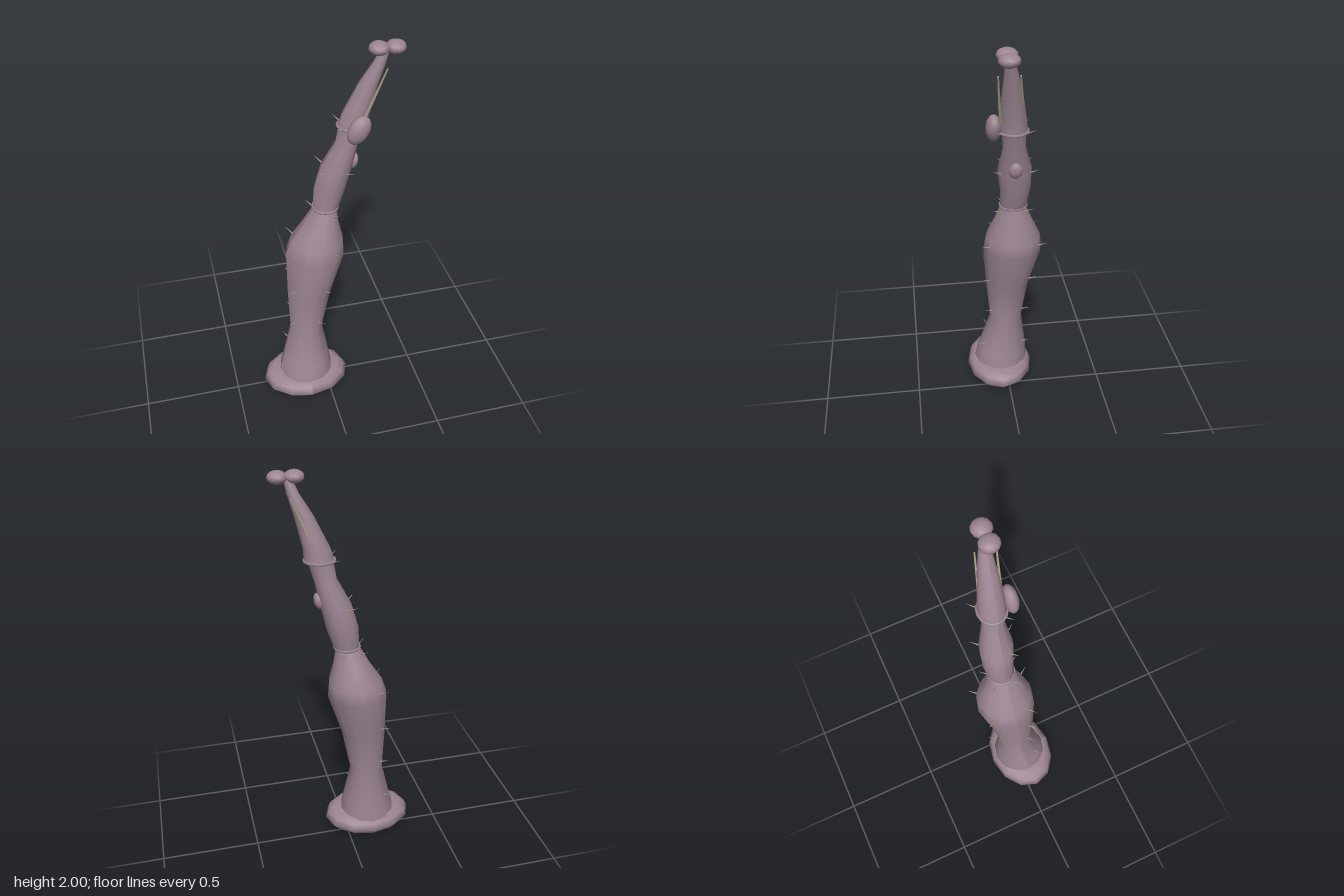
import * as THREE from 'three';

const skin = new THREE.MeshStandardMaterial({ color: 0x9c8592 });
skin.name = 'mauve skin';
const thornMat = new THREE.MeshStandardMaterial({ color: 0xaaa283 });
thornMat.name = 'bone thorn';

// Cross-sections: [y, xMin, xMax, zMin, zMax]
const lower = [
  [0.08, -0.265, 0.03, -0.115, 0.18], [0.13, -0.26, 0.025, -0.11, 0.175],
  [0.2, -0.24, 0.015, -0.105, 0.155], [0.4, -0.19, -0.02, -0.08, 0.09],
  [0.65, -0.197, 0.03, -0.115, 0.112], [0.88, -0.195, 0.105, -0.17, 0.125],
  [0.95, -0.17, 0.1, -0.16, 0.115], [1.05, -0.105, 0.075, -0.115, 0.075],
  [1.16, -0.045, 0.06, -0.07, 0.04],
];
const middle = [
  [1.14, -0.055, 0.07, -0.083, 0.047], [1.25, -0.048, 0.108, -0.098, 0.05],
  [1.37, -0.015, 0.135, -0.098, 0.065], [1.5, 0.053, 0.162, -0.06, 0.045],
  [1.61, 0.07, 0.195, -0.055, 0.055],
];
const upper = [
  [1.585, 0.06, 0.203, -0.066, 0.066], [1.65, 0.08, 0.206, -0.058, 0.066],
  [1.8, 0.152, 0.24, -0.03, 0.06], [1.9, 0.212, 0.268, -0.003, 0.056],
  [1.965, 0.24, 0.28, 0.018, 0.055],
];

// Closed tube of elliptical rings with a crease along its -x side
function limb(name, rings, sides = 12) {
  const pos = [], idx = [], n = sides + 1;
  for (const [y, x0, x1, z0, z1] of rings) {
    for (let j = 0; j < n; j++) {
      const a = Math.PI + (j / sides) * Math.PI * 2;
      pos.push((x0 + x1) / 2 + ((x1 - x0) / 2) * Math.cos(a), y,
        (z0 + z1) / 2 + ((z1 - z0) / 2) * Math.sin(a));
    }
  }
  for (let i = 0; i < rings.length - 1; i++) {
    for (let j = 0; j < sides; j++) {
      const a = i * n + j, b = a + 1, c = a + n, d = c + 1;
      idx.push(b, a, c, b, c, d);
    }
  }
  for (let j = 1; j < sides - 1; j++) {
    const t = (rings.length - 1) * n;
    idx.push(0, j, j + 1, t, t + j + 1, t + j);
  }
  const g = new THREE.BufferGeometry();
  g.setAttribute('position', new THREE.Float32BufferAttribute(pos, 3));
  g.setIndex(idx);
  const flat = g.index.array;
  // Separate cap corners so the sides stay smooth
  const sideCount = (rings.length - 1) * sides * 6;
  const capPos = [];
  for (let k = sideCount; k < flat.length; k++) {
    const v = flat[k];
    capPos.push(pos[v * 3], pos[v * 3 + 1], pos[v * 3 + 2]);
    idx[k] = pos.length / 3 + capPos.length / 3 - 1;
  }
  g.setAttribute('position', new THREE.Float32BufferAttribute(pos.concat(capPos), 3));
  g.setIndex(idx);
  g.computeVertexNormals();
  const m = new THREE.Mesh(g, skin);
  m.name = name;
  return m;
}

function ellipsoid(name, p, r, tilt = 0) {
  const m = new THREE.Mesh(new THREE.SphereGeometry(1, 12, 8), skin);
  m.name = name;
  m.position.set(...p);
  m.scale.set(...r);
  m.rotation.z = tilt;
  return m;
}

// Cone pointing from one point to another
function spike(name, from, to, radius, tip = 0) {
  const dir = to.clone().sub(from);
  const m = new THREE.Mesh(new THREE.CylinderGeometry(tip, radius, dir.length(), 5), thornMat);
  m.name = name;
  m.position.copy(from).addScaledVector(dir, 0.5);
  m.quaternion.setFromUnitVectors(new THREE.Vector3(0, 1, 0), dir.normalize());
  return m;
}

// Surface point of a limb at a height and angle
function surface(rings, y, a) {
  const i = Math.max(0, rings.findIndex((r, k) => k < rings.length - 1 && rings[k + 1][0] >= y));
  const A = rings[i], B = rings[i + 1], t = (y - A[0]) / (B[0] - A[0]);
  const [x0, x1, z0, z1] = [1, 2, 3, 4].map(k => A[k] + (B[k] - A[k]) * t);
  return new THREE.Vector3((x0 + x1) / 2 + ((x1 - x0) / 2) * Math.cos(a), y,
    (z0 + z1) / 2 + ((z1 - z0) / 2) * Math.sin(a));
}

export function createModel() {
  const model = new THREE.Group();
  model.name = 'thornyLimb';

  // Rounded foot
  const profile = [[0, 0], [0.5, 0.008], [0.83, 0.03], [1, 0.07], [0.93, 0.105], [0.78, 0.125], [0.5, 0.125]]
    .map(([r, y]) => new THREE.Vector2(r, y));
  const foot = new THREE.Mesh(new THREE.LatheGeometry(profile, 12), skin);
  foot.name = 'foot';
  foot.scale.set(0.232, 1, 0.176);
  foot.position.set(-0.12, 0, 0.04);
  foot.geometry.scale(0.232, 1, 0.176);
  foot.scale.set(1, 1, 1);
  foot.geometry.computeVertexNormals();
  model.add(foot);

  model.add(limb('lowerLimb', lower), limb('middleLimb', middle), limb('upperLimb', upper));

  // Thin joint collars
  for (const [y, x0, x1, z0, z1] of [middle[0], upper[0]]) {
    const g = new THREE.TorusGeometry(1, 0.1, 6, 16);
    g.rotateX(Math.PI / 2);
    g.scale((x1 - x0) / 2, 0.07, (z1 - z0) / 2);
    const collar = new THREE.Mesh(g, skin);
    collar.name = 'jointCollar';
    collar.position.set((x0 + x1) / 2, y + 0.008, (z0 + z1) / 2);
    model.add(collar);
  }

  // Tip lobes and side bulbs
  model.add(
    ellipsoid('tipLobeInner', [0.228, 1.97, 0.042], [0.046, 0.03, 0.048]),
    ellipsoid('tipLobeOuter', [0.304, 1.97, 0.042], [0.046, 0.03, 0.048]),
    ellipsoid('frontBulb', [0.136, 1.61, 0.09], [0.05, 0.073, 0.036], -0.5),
    ellipsoid('sideBulb', [0.142, 1.395, -0.01], [0.022, 0.041, 0.033], -0.2),
  );

  // Long spines beside the tip
  const V = (x, y, z) => new THREE.Vector3(x, y, z);
  model.add(
    spike('backSpine', V(0.155, 1.64, -0.045), V(0.258, 1.89, -0.012), 0.008, 0.004),
    spike('frontSpine', V(0.165, 1.64, 0.062), V(0.258, 1.89, 0.083), 0.008, 0.004),
  );

  // Rows of four thorns
  const rows = [[lower, 0.25], [lower, 0.47], [lower, 0.69], [lower, 0.92], [lower, 1.12], [middle, 1.36], [upper, 1.59]];
  for (const [rings, y] of rows) {
    for (const deg of [60, 145, 228, 302]) {
      const a = THREE.MathUtils.degToRad(deg);
      const out = V(Math.cos(a), 0.5, Math.sin(a)).normalize();
      const p = surface(rings, y, a);
      model.add(spike('thorn', p.clone().addScaledVector(out, -0.01), p.clone().addScaledVector(out, 0.055), 0.005));
    }
  }
  return model;
}
